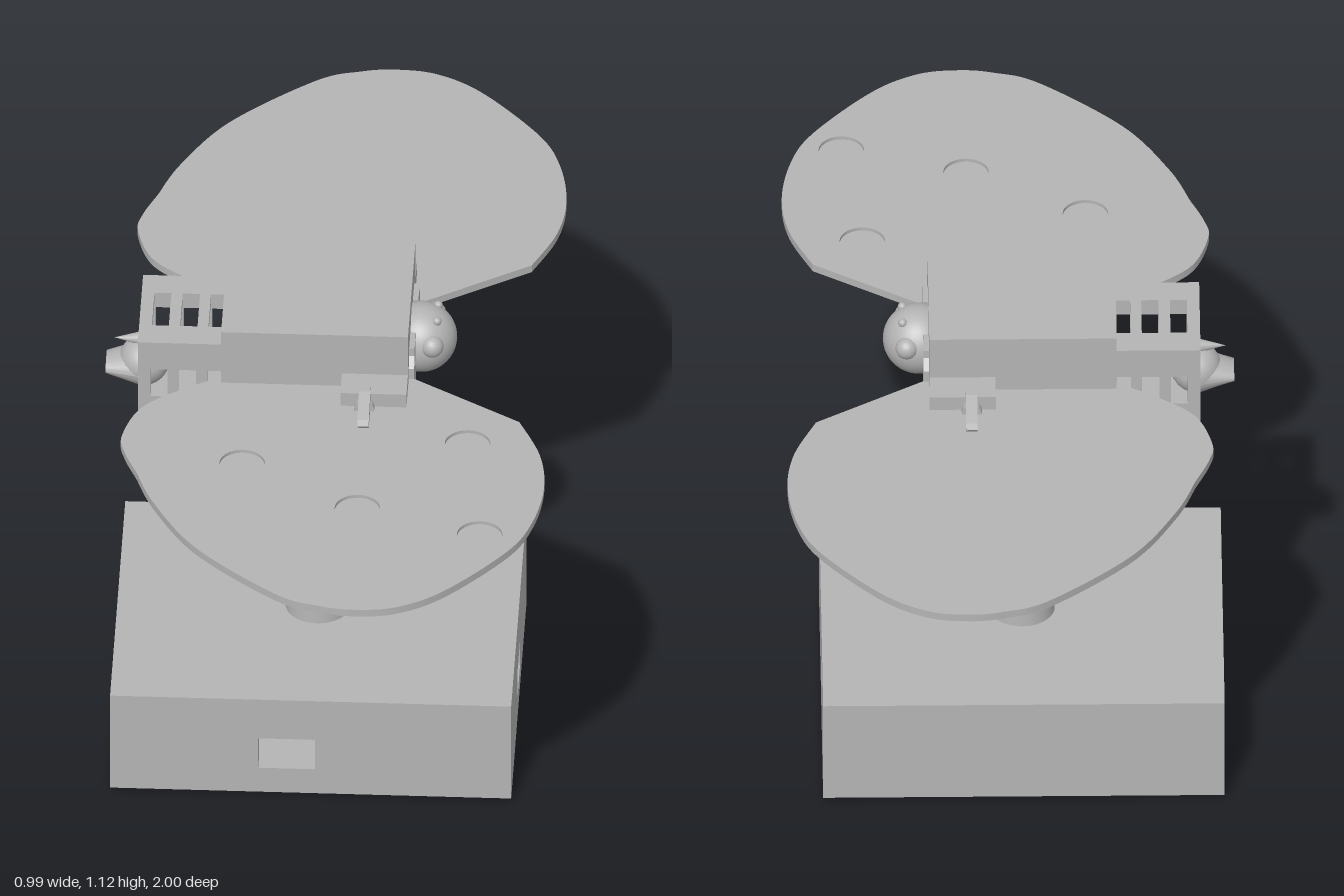
import * as THREE from 'three';

const grey = new THREE.MeshStandardMaterial({ color: 0xb4b4b4 });
grey.name = 'plain grey';

function add(group, name, geometry, x = 0, y = 0, z = 0) {
  const mesh = new THREE.Mesh(geometry, grey);
  mesh.name = name;
  mesh.position.set(x, y, z);
  group.add(mesh);
  return mesh;
}

// Box given by its limits on each axis
function block(group, name, [x0, x1], [y0, y1], [z0, z1]) {
  return add(group, name, new THREE.BoxGeometry(x1 - x0, y1 - y0, z1 - z0),
    (x0 + x1) / 2, (y0 + y1) / 2, (z0 + z1) / 2);
}

function rectangle(Type, x0, x1, y0, y1) {
  const r = new Type();
  r.moveTo(x0, y0).lineTo(x1, y0).lineTo(x1, y1).lineTo(x0, y1).closePath();
  return r;
}

function circle(x, y, r) {
  return new THREE.Path().absarc(x, y, r, 0, Math.PI * 2, true);
}

function slab(shape, depth) {
  return new THREE.ExtrudeGeometry(shape, { depth, bevelEnabled: false, curveSegments: 16 });
}

// Shape drawn in x and z, laid flat with its upper face at y = 0
const flatSlab = (shape, depth) => slab(shape, depth).rotateX(Math.PI / 2);

// Wing outline; side is +1 or -1 along z
function wingShape(side) {
  const pts = list => list.map(([x, z]) => new THREE.Vector2(x, z * side));
  const s = new THREE.Shape();
  s.moveTo(0.17, 0.13 * side);
  s.lineTo(0.425, 0.29 * side);
  s.splineThru(pts([[0.475, 0.41], [0.49, 0.53], [0.47, 0.66], [0.42, 0.77], [0.29, 0.92],
    [0.19, 0.985], [0.1, 1], [0.02, 0.99], [-0.08, 0.95], [-0.26, 0.79], [-0.36, 0.63], [-0.405, 0.515]]));
  s.splineThru(pts([[-0.435, 0.44], [-0.443, 0.38], [-0.405, 0.275], [-0.315, 0.2], [-0.22, 0.145]]));
  s.closePath();
  return s;
}

const SPOTS = [[0.315, 0.375], [-0.175, 0.47], [0.085, 0.625], [0.357, 0.71]];

function makeWing(side) {
  const wing = new THREE.Group();
  wing.name = side > 0 ? 'leftWing' : 'rightWing';
  add(wing, 'wingLowerLayer', flatSlab(wingShape(side), 0.01), 0, 0.975);
  const top = wingShape(side);
  for (const [x, z] of SPOTS) top.holes.push(circle(x, z * side, 0.05));
  add(wing, 'wingSpottedLayer', flatSlab(top, 0.008), 0, 0.983);
  // Veins under the wing run from the inner spot to the others
  const [hx, hz] = SPOTS[0];
  for (const [x, z] of SPOTS.slice(1)) {
    const dx = x - hx, dz = (z - hz) * side;
    const vein = add(wing, 'wingVein', new THREE.BoxGeometry(Math.hypot(dx, dz), 0.003, 0.01),
      hx + dx / 2, 0.964, hz * side + dz / 2);
    vein.rotation.y = -Math.atan2(dz, dx);
  }
  return wing;
}

function makeBase() {
  const base = new THREE.Group();
  base.name = 'base';
  const t = 0.03;
  const front = rectangle(THREE.Shape, -0.47, 0.41, 0.01, 0.26);
  front.holes.push(rectangle(THREE.Path, -0.145, -0.02, 0.075, 0.155));
  add(base, 'frontWall', slab(front, t), 0, 0, 0.36 - t);
  const side = rectangle(THREE.Shape, -0.36 + t, 0.36 - t, 0.01, 0.26 - t);
  side.holes.push(rectangle(THREE.Path, -0.06, 0.06, 0.065, 0.135));
  add(base, 'portWall', slab(side, t).rotateY(Math.PI / 2), 0.41 - t);
  block(base, 'backWall', [-0.47, 0.41], [0.01, 0.26], [-0.36, -0.36 + t]);
  block(base, 'endWall', [-0.47, -0.47 + t], [0.01, 0.26 - t], [-0.36 + t, 0.36 - t]);
  block(base, 'baseTop', [-0.47, 0.41], [0.26 - t, 0.26], [-0.36 + t, 0.36 - t]);
  const floor = rectangle(THREE.Shape, -0.45, 0.39, -0.34, 0.34);
  for (const x of [-0.37, 0.295]) floor.holes.push(circle(x, 0, 0.013));
  add(base, 'bottomPlate', flatSlab(floor, 0.014), 0, 0.014);
  return base;
}

function makeTail() {
  const tail = new THREE.Group();
  tail.name = 'tail';
  const slots = [[-0.392, -0.355], [-0.33, -0.292], [-0.268, -0.237]];
  const t = 0.02;
  // Slotted side walls and roof
  for (const z of [0.125 - t, -0.125]) {
    const wall = rectangle(THREE.Shape, -0.42, -0.23, 0.82, 1.05);
    for (const [a, b] of slots) wall.holes.push(rectangle(THREE.Path, a, b, 0.905, 0.978));
    add(tail, 'tailSide', slab(wall, t), 0, 0, z);
  }
  const roof = rectangle(THREE.Shape, -0.42, -0.23, -0.125 + t, 0.125 - t);
  for (const [a, b] of slots) roof.holes.push(rectangle(THREE.Path, a, b, -0.06, 0.06));
  add(tail, 'tailRoof', flatSlab(roof, t), 0, 1.05);
  block(tail, 'tailFloor', [-0.42, -0.23], [0.82, 0.82 + t], [-0.125 + t, 0.125 - t]);
  block(tail, 'tailEnd', [-0.42, -0.42 + t], [0.82 + t, 1.05 - t], [-0.125 + t, 0.125 - t]);

  // Stinger: dome, flattened nozzle and a small spike
  add(tail, 'stingerDome', new THREE.SphereGeometry(0.056, 24, 16), -0.412, 0.912, 0);
  const nozzle = new THREE.CylinderGeometry(1, 1, 0.075, 24);
  const p = nozzle.attributes.position;
  for (let i = 0; i < p.count; i++) {
    const tip = p.getY(i) > 0;
    p.setX(i, p.getX(i) * (tip ? 0.015 : 0.046));
    p.setZ(i, p.getZ(i) * (tip ? 0.038 : 0.055));
  }
  nozzle.rotateZ(Math.PI / 2);
  nozzle.computeVertexNormals();
  add(tail, 'stingerNozzle', nozzle, -0.4575, 0.904, 0);
  add(tail, 'stingerSpike', new THREE.ConeGeometry(0.016, 0.06, 16).rotateZ(Math.PI / 2), -0.447, 0.97, 0);
  return tail;
}

function makeHead() {
  const head = new THREE.Group();
  head.name = 'head';
  add(head, 'skull', new THREE.SphereGeometry(0.078, 32, 24), 0.197, 0.996, 0);
  for (const s of [1, -1]) {
    add(head, 'eye', new THREE.SphereGeometry(0.025, 20, 14), 0.223, 1.015, s * 0.062);
    add(head, 'antennaStub', new THREE.SphereGeometry(0.01, 12, 8), 0.232, 1.06, s * 0.03);
  }
  return head;
}

// Wing motor, turning horn and cheek bracket on one side
function makeMotor(side) {
  const motor = new THREE.Group();
  motor.name = side > 0 ? 'leftMotor' : 'rightMotor';
  const span = (a, b) => (side > 0 ? [a, b] : [-b, -a]);
  block(motor, 'motorBox', [0.03, 0.175], [0.937, 1.017], span(0.17, 0.247));
  add(motor, 'motorHub', new THREE.CylinderGeometry(0.022, 0.022, 0.02, 20).rotateX(Math.PI / 2),
    0.083, 0.985, side * 0.255);
  const horn = new THREE.Shape();
  [[0.21, 0.975], [0.325, 0.98], [0.332, 0.99], [0.325, 1.003], [0.25, 1.025], [0.21, 1.025]]
    .forEach(([z, y], i) => (i ? horn.lineTo(-z * side, y) : horn.moveTo(-z * side, y)));
  horn.closePath();
  for (const z of [0.27, 0.29, 0.31]) horn.holes.push(circle(-z * side, 0.991, 0.006));
  add(motor, 'motorHorn', slab(horn, 0.025).rotateY(Math.PI / 2), 0.071);
  const cheek = new THREE.Shape();
  [[0.06, 0.925], [0.12, 0.925], [0.12, 0.95], [0.142, 0.965], [0.142, 1.01], [0.12, 1.03], [0.12, 1.05], [0.06, 1.05]]
    .forEach(([z, y], i) => (i ? cheek.lineTo(-z * side, y) : cheek.moveTo(-z * side, y)));
  cheek.closePath();
  cheek.holes.push(circle(-0.1 * side, 0.988, 0.012));
  add(motor, 'cheekBracket', slab(cheek, 0.017).rotateY(Math.PI / 2), 0.17);
  return motor;
}

export function createModel() {
  const model = new THREE.Group();
  model.name = 'wingedBoxOnStand';
  model.add(makeBase());
  add(model, 'post', new THREE.CylinderGeometry(0.05, 0.072, 0.44, 40), -0.03, 0.478, 0);
  add(model, 'collar', new THREE.CylinderGeometry(0.061, 0.061, 0.065, 40), -0.03, 0.7275, 0);
  block(model, 'body', [-0.235, 0.175], [0.76, 1.12], [-0.174, 0.174]);
  model.add(makeTail(), makeHead());
  for (const side of [1, -1]) model.add(makeWing(side), makeMotor(side));
  return model;
}
